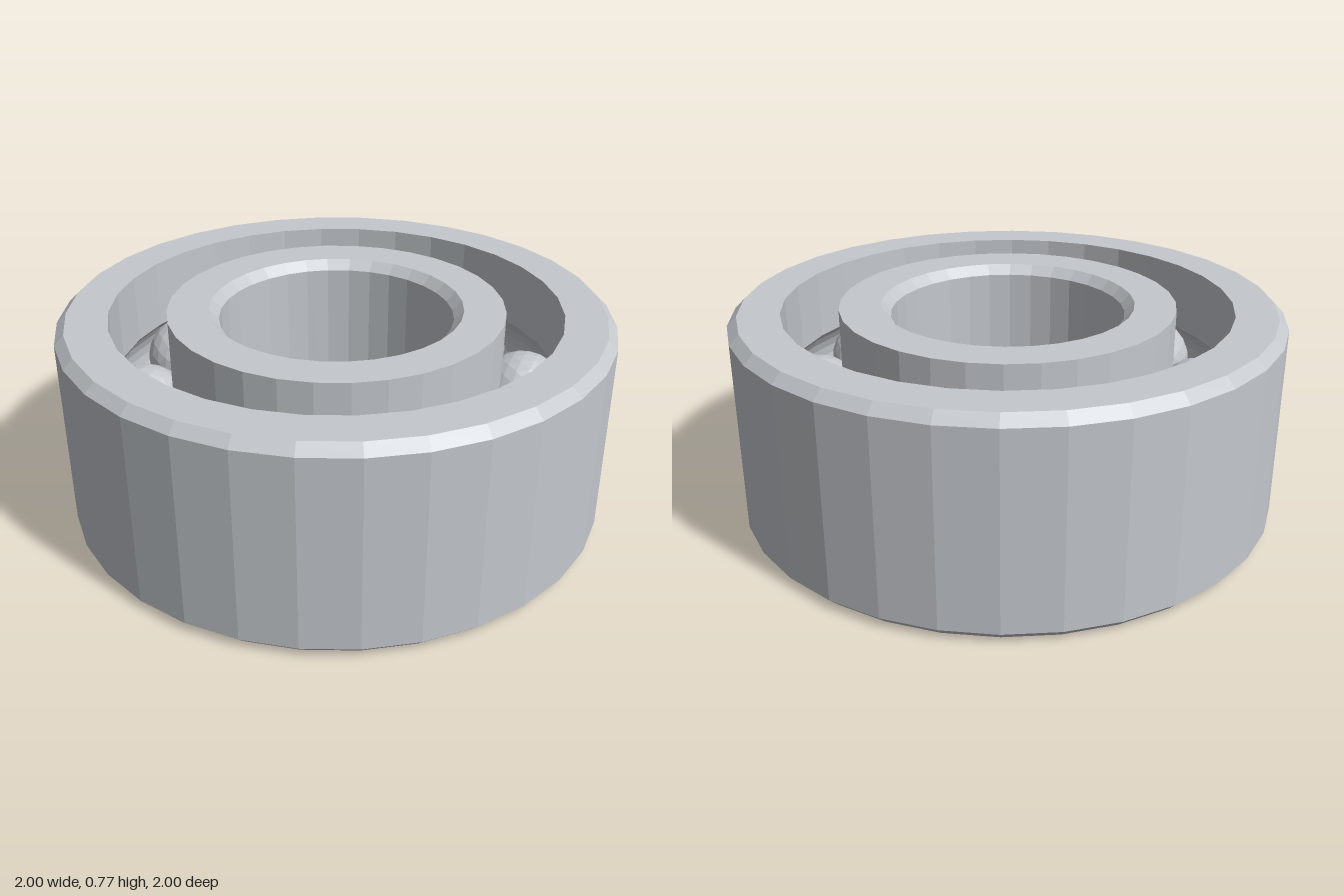
import * as THREE from 'three';

const H = 0.77, MID = H / 2, CHAMFER = 0.035, SIDES = 32;
const TRACK = 0.7125;      // radius of the circle of ball centres
const BALL = 0.158, GROOVE = 0.163, BALLS = 10;
const OUTER = 1, OUTER_WALL = 0.815, INNER_WALL = 0.61, BORE = 0.425;

// Arc of the ball groove where it cuts a wall; side is +1 (outer) or -1 (inner), listed upwards
function grooveArc(wall, side) {
  const half = Math.acos(Math.abs(wall - TRACK) / GROOVE);
  const points = [];
  for (let i = 0; i <= 8; i++) {
    const a = -half + (2 * half * i) / 8;
    points.push([TRACK + side * GROOVE * Math.cos(a), MID + GROOVE * Math.sin(a)]);
  }
  return points;
}

// Closed ring from a profile running up the outside and down the inside
function ring(name, profile, material) {
  const points = [...profile, profile[0]].map(([r, y]) => new THREE.Vector2(r, y));
  const mesh = new THREE.Mesh(new THREE.LatheGeometry(points, SIDES), material);
  mesh.name = name;
  return mesh;
}

export function createModel() {
  const group = new THREE.Group();
  group.name = 'ballBearing';
  const steel = new THREE.MeshStandardMaterial({ color: 0xc4c8cd, flatShading: true });
  steel.name = 'steel';

  // Outer race: chamfered outside, grooved inside
  group.add(ring('outerRace', [
    [OUTER_WALL, 0], [OUTER - CHAMFER, 0], [OUTER, CHAMFER],
    [OUTER, H - CHAMFER], [OUTER - CHAMFER, H], [OUTER_WALL, H],
    ...grooveArc(OUTER_WALL, 1).reverse(),
  ], steel));

  // Inner race: grooved outside, chamfered bore
  group.add(ring('innerRace', [
    [INNER_WALL, 0], ...grooveArc(INNER_WALL, -1), [INNER_WALL, H],
    [BORE + CHAMFER, H], [BORE, H - CHAMFER], [BORE, CHAMFER], [BORE + CHAMFER, 0],
  ], steel));

  // Balls evenly spaced in the track
  const ballGeometry = new THREE.IcosahedronGeometry(BALL, 3);
  for (let i = 0; i < BALLS; i++) {
    const a = (i / BALLS) * Math.PI * 2;
    const ball = new THREE.Mesh(ballGeometry, steel);
    ball.name = `ball${i + 1}`;
    ball.position.set(TRACK * Math.cos(a), MID, TRACK * Math.sin(a));
    group.add(ball);
  }
  return group;
}
